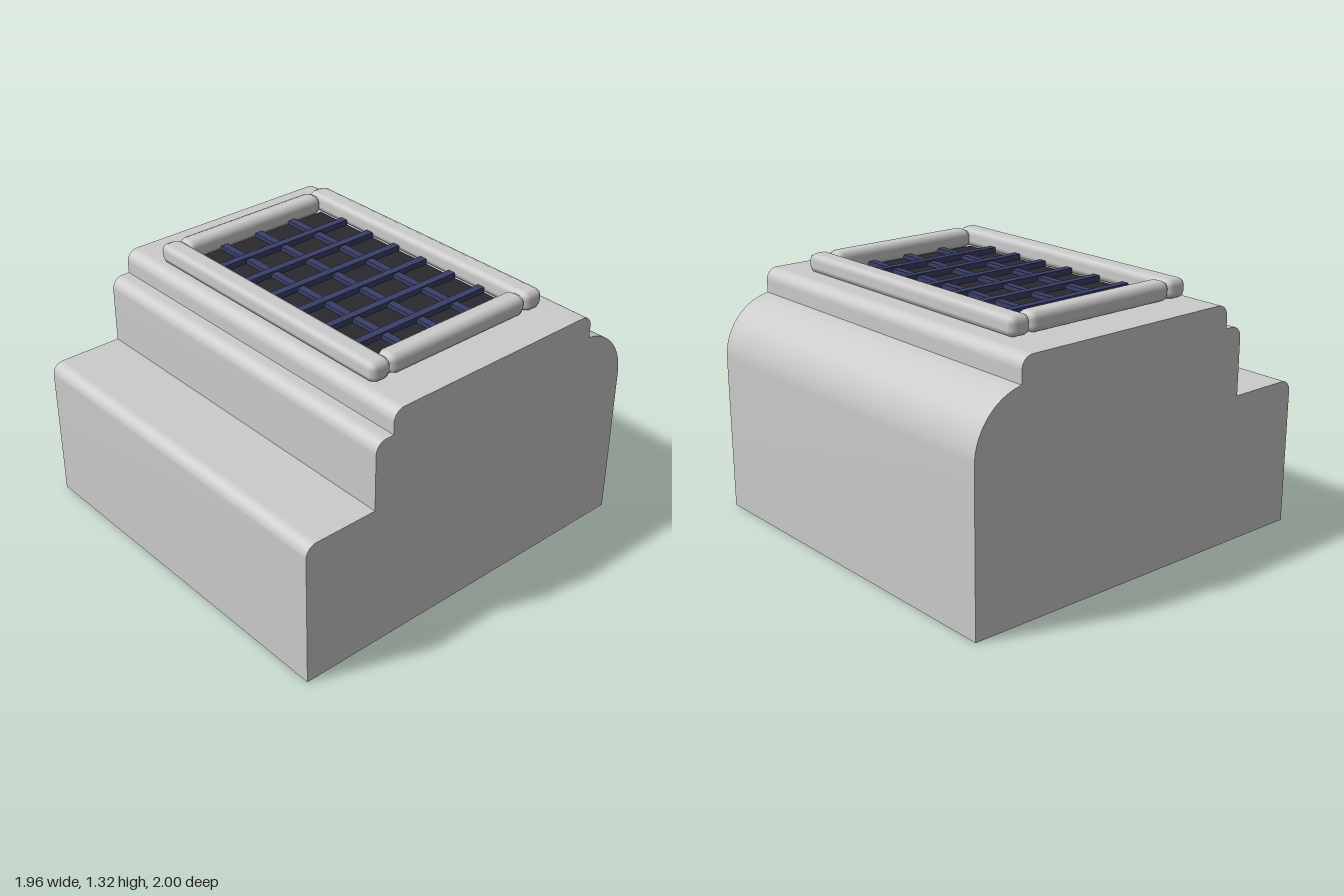
import * as THREE from 'three';
import { toCreasedNormals } from 'three/addons/utils/BufferGeometryUtils.js';
import { RoundedBoxGeometry } from 'three/addons/geometries/RoundedBoxGeometry.js';

const stone = new THREE.MeshStandardMaterial({ color: 0xcccccc });
const dark = new THREE.MeshStandardMaterial({ color: 0x2a2a2f });
const blue = new THREE.MeshStandardMaterial({ color: 0x3a3f68 });

function add(parent, name, geometry, material, x = 0, y = 0, z = 0) {
  const mesh = new THREE.Mesh(geometry, material);
  mesh.name = name;
  mesh.position.set(x, y, z);
  parent.add(mesh);
}

// Stepped side profile, drawn as (z, y) and extruded across the width
function bodyGeometry() {
  const r = 0.06, width = 1.96;
  const s = new THREE.Shape();
  s.moveTo(-1, 0);
  s.lineTo(1, 0);
  s.lineTo(1, 0.75 - r);
  s.absarc(1 - r, 0.75 - r, r, 0, Math.PI / 2);
  s.lineTo(0.61, 0.75);
  s.lineTo(0.61, 1.1 - r);
  s.absarc(0.61 - r, 1.1 - r, r, 0, Math.PI / 2);
  s.lineTo(0.51, 1.1);
  s.lineTo(0.51, 1.22 - r);
  s.absarc(0.51 - r, 1.22 - r, r, 0, Math.PI / 2);
  s.absarc(-0.745 + r, 1.22 - r, r, Math.PI / 2, Math.PI);
  s.lineTo(-0.745, 1.096);
  s.absarc(-0.7, 0.8, 0.3, Math.PI / 2 + 0.15, Math.PI);
  s.lineTo(-1, 0);
  const g = new THREE.ExtrudeGeometry(s, { depth: width, bevelEnabled: false, curveSegments: 16 });
  g.translate(0, 0, -width / 2);
  g.rotateY(-Math.PI / 2);
  return toCreasedNormals(g, 0.5);
}

export function createModel() {
  const model = new THREE.Group();
  model.name = 'steppedBlock';
  add(model, 'body', bodyGeometry(), stone);

  // Raised frame of four chamfered bars
  const frame = new THREE.Group();
  frame.name = 'frame';
  model.add(frame);
  const longBar = new RoundedBoxGeometry(1.56, 0.1, 0.115, 1, 0.035);
  const shortBar = new RoundedBoxGeometry(0.11, 0.1, 0.85, 1, 0.035);
  add(frame, 'frontBar', longBar, stone, 0, 1.268, 0.39);
  add(frame, 'backBar', longBar, stone, 0, 1.268, -0.57);
  add(frame, 'leftBar', shortBar, stone, 0.725, 1.268, -0.088);
  add(frame, 'rightBar', shortBar, stone, -0.725, 1.268, -0.088);

  // Dark panel inside the frame, with a crossed lattice on it
  add(model, 'panel', new THREE.BoxGeometry(1.36, 0.03, 0.85), dark, 0, 1.211, -0.09);
  const lattice = new THREE.Group();
  lattice.name = 'lattice';
  model.add(lattice);
  for (let i = 0; i < 6; i++) {
    const x = (i - 2.5) * 0.196;
    add(lattice, 'crossBar', new THREE.BoxGeometry(0.04, 0.04, 0.85), blue, x, 1.235, -0.09);
  }
  for (let i = 0; i < 3; i++) {
    const z = -0.09 + (i - 1) * 0.22;
    add(lattice, 'lengthBar', new THREE.BoxGeometry(1.36, 0.03, 0.04), blue, 0, 1.232, z);
  }
  return model;
}
